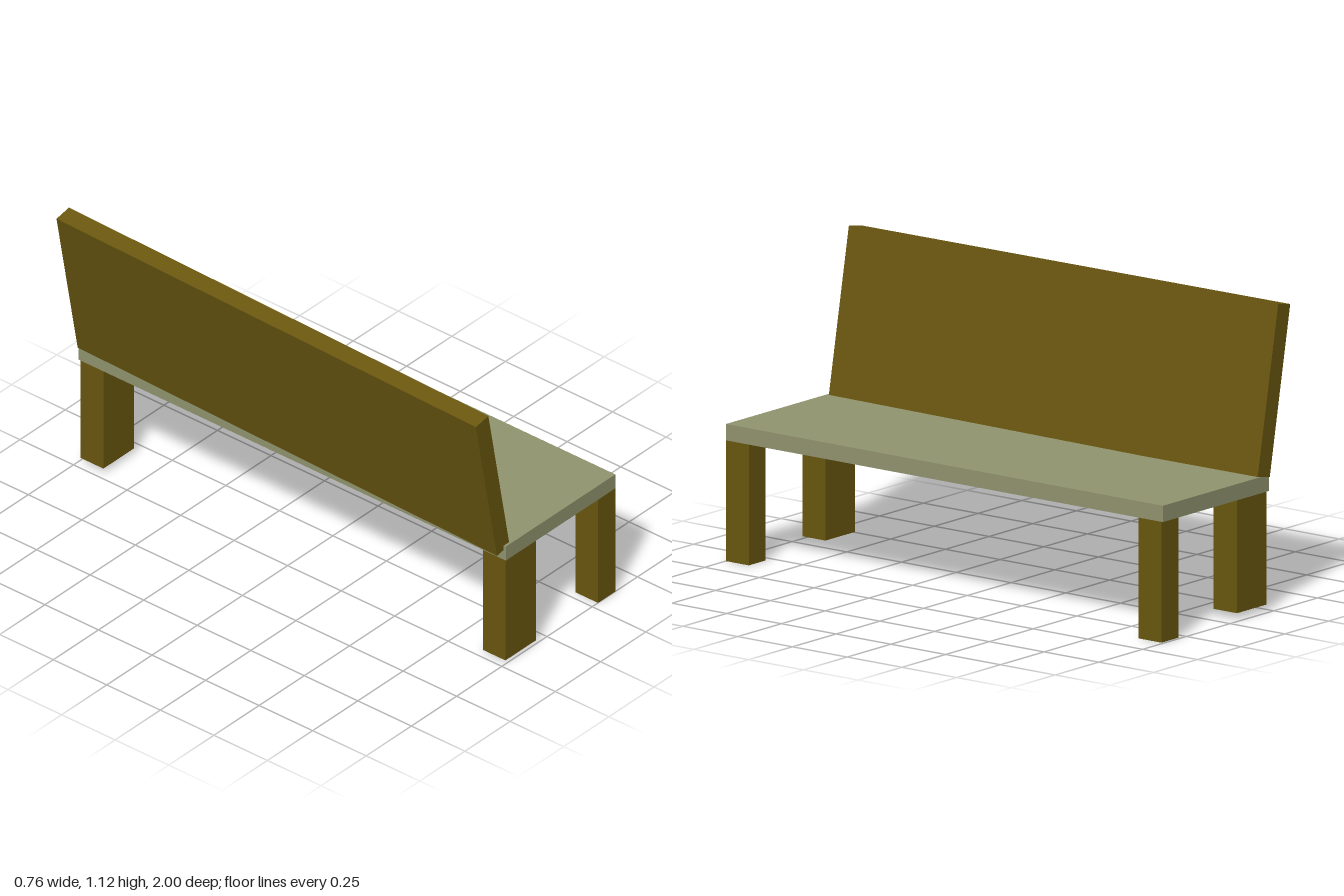
import * as THREE from 'three';

export function createModel() {
  const model = new THREE.Group();
  model.name = 'bench';

  const wood = new THREE.MeshStandardMaterial({ name: 'brown wood', color: 0x6a570f });
  const paint = new THREE.MeshStandardMaterial({ name: 'sage seat', color: 0x92956f });

  // Box given by its low and high corners
  function box(name, material, [x0, y0, z0], [x1, y1, z1]) {
    const geometry = new THREE.BoxGeometry(x1 - x0, y1 - y0, z1 - z0);
    const mesh = new THREE.Mesh(geometry, material);
    mesh.position.set((x0 + x1) / 2, (y0 + y1) / 2, (z0 + z1) / 2);
    mesh.name = name;
    model.add(mesh);
  }

  // Seat slab
  box('seat', paint, [-0.228, 0.443, -0.995], [0.378, 0.503, 1]);

  // Narrow legs under the open side, broad legs under the backrest
  box('frontLegLeft', wood, [0.282, 0, 0.895], [0.379, 0.443, 1]);
  box('frontLegRight', wood, [0.282, 0, -0.99], [0.379, 0.443, -0.885]);
  box('backLegLeft', wood, [-0.224, 0.01, 0.891], [-0.054, 0.443, 0.995]);
  box('backLegRight', wood, [-0.228, 0.025, -0.985], [-0.058, 0.443, -0.879]);

  // Leaning backrest, slightly skewed along its length
  const profile = new THREE.Shape([
    new THREE.Vector2(-0.247, 0.486),
    new THREE.Vector2(-0.178, 0.499),
    new THREE.Vector2(-0.295, 1.112),
    new THREE.Vector2(-0.364, 1.099),
  ]);
  const geometry = new THREE.ExtrudeGeometry(profile, { depth: 1.988, bevelEnabled: false });
  geometry.translate(0, 0, -0.998);
  const p = geometry.attributes.position;
  for (let i = 0; i < p.count; i++) {
    const z = p.getZ(i);
    p.setXY(i, p.getX(i) - 0.0175 * z, p.getY(i) - 0.0085 * z);
  }
  geometry.computeVertexNormals();
  const backrest = new THREE.Mesh(geometry, wood);
  backrest.name = 'backrest';
  model.add(backrest);

  return model;
}
